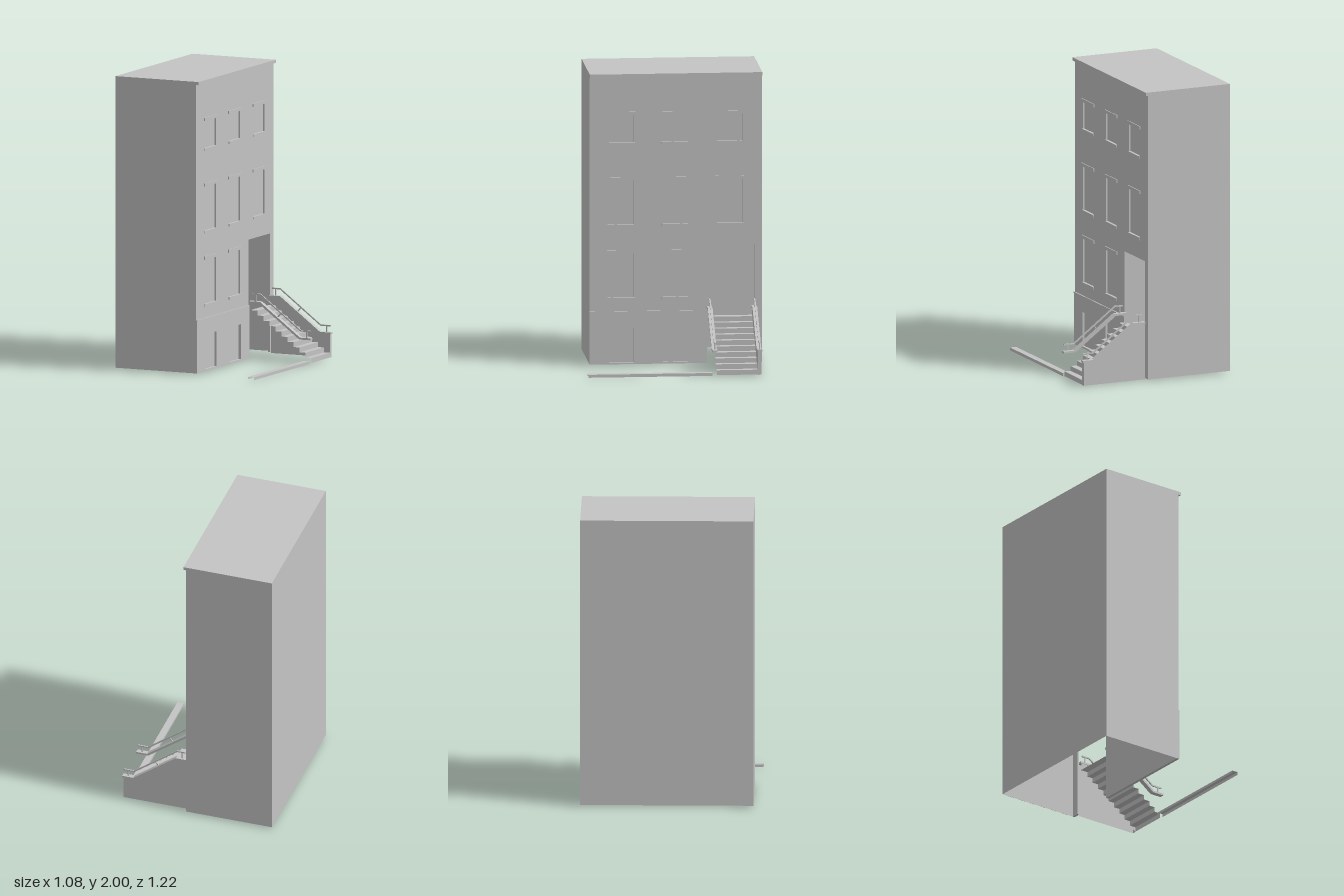
import * as THREE from 'three';

export function createModel() {
  const root = new THREE.Group();
  const stone = new THREE.MeshStandardMaterial({ color: 0xc4c4c4, side: THREE.DoubleSide });
  stone.name = 'palePaintedStone';

  const add = (name, geometry, parent = root) => {
    const mesh = new THREE.Mesh(geometry, stone);
    mesh.name = name;
    parent.add(mesh);
    return mesh;
  };
  const group = (name) => {
    const g = new THREE.Group();
    g.name = name;
    root.add(g);
    return g;
  };
  // Box given by its limits on each axis
  const box = (name, x0, x1, y0, y1, z0, z1, parent) =>
    add(name, new THREE.BoxGeometry(x1 - x0, y1 - y0, z1 - z0)
      .translate((x0 + x1) / 2, (y0 + y1) / 2, (z0 + z1) / 2), parent);
  const polygon = (pts) => new THREE.Shape(pts.map(([x, y]) => new THREE.Vector2(x, y)));
  // Sheet in the x-y plane swept along z, without end faces
  const ribbon = (pts, z0, z1) => {
    const pos = [];
    for (let i = 0; i + 1 < pts.length; i++) {
      const [ax, ay] = pts[i], [bx, by] = pts[i + 1];
      pos.push(ax, ay, z1, bx, by, z1, bx, by, z0, ax, ay, z1, bx, by, z0, ax, ay, z0);
    }
    const g = new THREE.BufferGeometry();
    g.setAttribute('position', new THREE.Float32BufferAttribute(pos, 3));
    g.computeVertexNormals();
    return g;
  };

  const BACK = -0.54, WALL = 0.07, BASE = 0.075, Z0 = -0.61, Z1 = 0.56, Y0 = 0.01;
  const DOOR_L = -0.235, DOOR_R = -0.558, DOOR_TOP = 0.82;

  // Hollow shell, open below
  const shell = group('buildingShell');
  add('roofAndBackWall', ribbon([[WALL, 2], [BACK, 2], [BACK, Y0]], Z0, Z1), shell);
  const side = polygon([[BACK, Y0], [WALL, Y0], [WALL, 2], [BACK, 2]]);
  add('leftSideWall', new THREE.ShapeGeometry(side).translate(0, 0, Z1), shell);
  add('rightSideWall', new THREE.ShapeGeometry(side).rotateY(Math.PI).scale(-1, 1, 1)
    .translate(0, 0, Z0), shell).geometry = new THREE.BoxGeometry(WALL - BACK, 2 - Y0, 0.001)
    .translate((WALL + BACK) / 2, (2 + Y0) / 2, Z0 + 0.0005);

  // Window openings: centre z, bottom, top, with trim or not
  const windows = [];
  const columns = [0.345, -0.022, -0.39];
  columns.forEach((z) => windows.push([z, 1.53, 1.717, true], [z, 0.967, 1.27, true]));
  columns.slice(0, 2).forEach((z) => windows.push([z, 0.467, 0.77, true], [z, 0.022, 0.26, false]));
  const HALF = 0.085;

  // Street wall, cut for the windows and the doorway; shape x is -z
  const cutWall = (outline, holes, x0, x1) => {
    const shape = polygon(outline);
    holes.forEach(([z, b, t]) => shape.holes.push(polygon(
      [[-z - HALF, b], [-z - HALF, t], [-z + HALF, t], [-z + HALF, b]])));
    return new THREE.ExtrudeGeometry(shape, { depth: x1 - x0, bevelEnabled: false })
      .rotateY(Math.PI / 2).translate(x0, 0, 0);
  };
  add('streetWall', cutWall([[-Z1, Y0], [-DOOR_L, Y0], [-DOOR_L, DOOR_TOP], [-DOOR_R, DOOR_TOP],
    [-DOOR_R, Y0], [-Z0, Y0], [-Z0, 2], [-Z1, 2]], windows, WALL - 0.015, WALL));
  add('basementFacing', cutWall([[-Z1, Y0], [-DOOR_L, Y0], [-DOOR_L, 0.365], [-Z1, 0.365]],
    windows.filter((w) => !w[3]), WALL, BASE));
  box('basementLedge', WALL, BASE + 0.003, 0.365, 0.373, DOOR_L, Z1);
  box('cornice', WALL, 0.088, 1.978, 2, Z0, Z1);

  // Panes, lintels and sills
  const windowParts = group('windows');
  windows.forEach(([z, b, t, trim]) => {
    box('windowPane', WALL - 0.015, WALL - 0.012, b, t, z - HALF, z + HALF, windowParts);
    if (!trim) return;
    box('lintel', WALL, 0.076, t, t + 0.022, z - HALF - 0.012, z + HALF + 0.012, windowParts);
    box('sill', WALL, 0.076, b - 0.018, b, z - HALF - 0.008, z + HALF + 0.008, windowParts);
  });

  // Stair: a folded sheet of risers and treads
  const steps = [];
  for (let i = 0; i < 10; i++) {
    const x = 0.53 - i * 0.045;
    steps.push([x, 0.005 + i * 0.033], [x, 0.005 + (i + 1) * 0.033]);
  }
  steps.push([WALL, 0.335]);
  add('stairs', ribbon(steps, -0.54, -0.262));

  // Solid outer cheek of the stair, hollow on its lower inner side
  const cheek = group('stairCheekWall');
  const top = [[0.53, 0.165], [0.455, 0.165], [0.155, 0.388], [BASE, 0.388]];
  add('outerFace', new THREE.ShapeGeometry(polygon([[BASE, 0.003], [0.53, 0.003], ...top]))
    .translate(0, 0, -0.566), cheek);
  add('innerFace', new THREE.ShapeGeometry(polygon([[BASE, 0.335], [0.53, 0.005], ...top]))
    .translate(0, 0, -0.54), cheek);
  add('endFace', ribbon([[0.53, 0.003], [0.53, 0.165]], -0.566, -0.54), cheek);

  // Sloped copings with handrails on both sides
  const coping = polygon([[WALL, 0.386], [0.15, 0.386], [0.452, 0.163], [0.537, 0.163],
    [0.537, 0.176], [0.458, 0.176], [0.156, 0.4], [WALL, 0.4]]);
  const rail = polygon([[0.09, 0.444], [0.15, 0.444], [0.455, 0.216], [0.53, 0.216],
    [0.53, 0.225], [0.458, 0.225], [0.153, 0.453], [0.09, 0.453]]);
  const sweep = (shape, z, w) => new THREE.ExtrudeGeometry(shape, { depth: w, bevelEnabled: false })
    .translate(0, 0, z - w / 2);
  [-0.25, -0.553].forEach((z) => {
    const g = group('stairRailing');
    add('coping', sweep(coping, z, 0.033), g);
    add('handrail', sweep(rail, z, 0.009), g);
    [[0.115, 0.4, 0.115, 0.446], [0.283, 0.303, 0.307, 0.332], [0.5, 0.174, 0.5, 0.218]]
      .forEach(([x0, y0, x1, y1]) => {
        const post = add('railPost',
          new THREE.BoxGeometry(0.007, Math.hypot(x1 - x0, y1 - y0), 0.007), g);
        post.position.set((x0 + x1) / 2, (y0 + y1) / 2, z);
        post.rotation.z = -Math.atan2(x1 - x0, y1 - y0);
      });
  });

  // Kerb: an inverted channel along the pavement
  add('kerb', ribbon([[0.53, 0], [0.53, 0.02], [0.485, 0.02], [0.485, 0.004]], -0.232, 0.61));

  return root;
}
